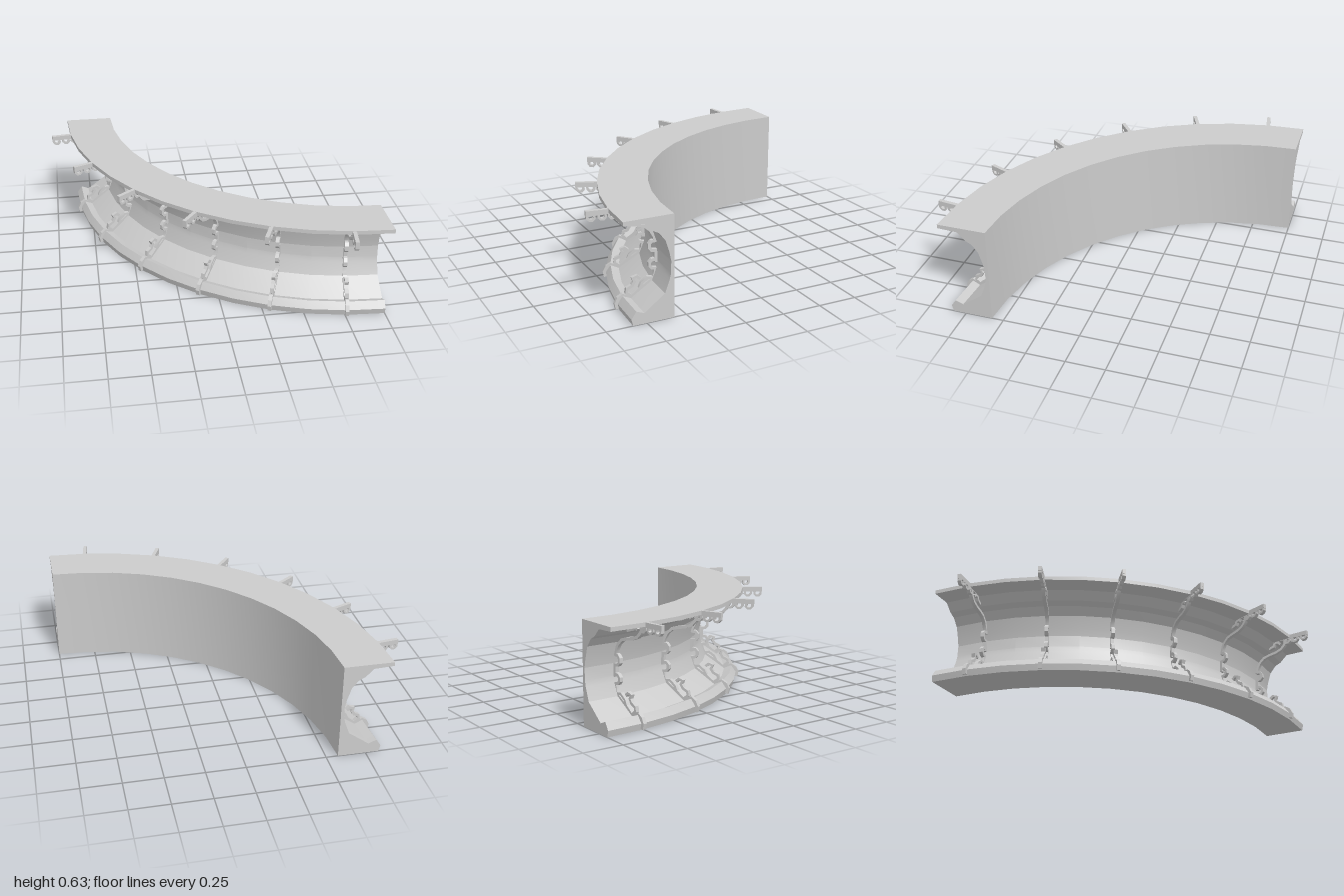
import * as THREE from 'three';
import { toCreasedNormals } from 'three/addons/utils/BufferGeometryUtils.js';

const material = new THREE.MeshStandardMaterial({ color: 0xcccccc });
const capMaterial = new THREE.MeshStandardMaterial({ color: 0xcccccc, side: THREE.DoubleSide });
const vectors = (points) => points.map(([r, y]) => new THREE.Vector2(r, y));

// Wall cross-section (radius, height), counter-clockwise
const PROFILE = [
  [1.575, 0], [1.835, 0], [1.845, 0.04], [1.815, 0.085], [1.765, 0.065], [1.635, 0.16],
  [1.605, 0.24], [1.597, 0.275], [1.595, 0.35], [1.605, 0.4], [1.63, 0.48], [1.67, 0.53],
  [1.71, 0.55], [1.735, 0.575], [1.76, 0.6], [1.885, 0.605], [1.885, 0.63], [1.575, 0.63],
];

// Bent strips making up one rib: points (radius, height) and strip thickness
const STRIPS = {
  topBar: [[[1.7, 0.614], [2.016, 0.614]], 0.03],
  upperScroll: [[[1.86, 0.61], [1.85, 0.585], [1.835, 0.56], [1.81, 0.535], [1.77, 0.52], [1.72, 0.512],
    [1.675, 0.5], [1.64, 0.47], [1.618, 0.43], [1.61, 0.395]], 0.018],
  upperCurl: [[[1.72, 0.56], [1.755, 0.57], [1.765, 0.59], [1.79, 0.595], [1.81, 0.575]], 0.018],
  upperCup: [[[1.605, 0.405], [1.635, 0.4], [1.647, 0.385], [1.647, 0.36], [1.635, 0.345], [1.605, 0.342]], 0.018],
  cupLink: [[[1.61, 0.35], [1.607, 0.27]], 0.018],
  lowerCup: [[[1.605, 0.29], [1.635, 0.285], [1.647, 0.27], [1.647, 0.25], [1.635, 0.235], [1.605, 0.23]], 0.018],
  lowerStem: [[[1.61, 0.24], [1.615, 0.2], [1.628, 0.17], [1.67, 0.14], [1.705, 0.12], [1.745, 0.085], [1.775, 0.065]], 0.018],
  lowerBranch: [[[1.628, 0.175], [1.66, 0.178], [1.695, 0.15], [1.71, 0.115]], 0.016],
  lowerHook: [[[1.76, 0.075], [1.79, 0.1], [1.785, 0.125], [1.755, 0.14], [1.74, 0.165], [1.75, 0.187],
    [1.725, 0.195], [1.705, 0.178]], 0.018],
  lipBand: [[[1.77, 0.07], [1.813, 0.088], [1.838, 0.07], [1.853, 0.04], [1.846, 0.008]], 0.022],
};

// Small hooks hanging below the top bar
[1.995, 1.93, 1.87].forEach((r, i) => {
  STRIPS['hangingHook' + (i + 1)] = [[[r + 0.012, 0.605], [r + 0.012, 0.585], [r, 0.572],
    [r - 0.018, 0.571], [r - 0.03, 0.583], [r - 0.026, 0.605]], 0.014];
});

// Flat strip of constant thickness along a path, extruded to the rib width
function stripGeometry([path, thickness], width) {
  const pts = vectors(path);
  const left = [], right = [];
  pts.forEach((p, i) => {
    const before = pts[Math.max(i - 1, 0)], after = pts[Math.min(i + 1, pts.length - 1)];
    const dir = after.clone().sub(before).normalize();
    const side = new THREE.Vector2(-dir.y, dir.x).multiplyScalar(thickness / 2);
    left.push(p.clone().add(side));
    right.push(p.clone().sub(side));
  });
  const shape = new THREE.Shape([...right, ...left.reverse()]);
  const geometry = new THREE.ExtrudeGeometry(shape, { depth: width, bevelEnabled: false });
  geometry.translate(0, 0, -width / 2);
  return toCreasedNormals(geometry, 0.5);
}

export function createModel() {
  const model = new THREE.Group();
  model.name = 'curvedWall';

  // The arc is a quarter turn around this corner
  const arc = new THREE.Group();
  arc.name = 'quarterArc';
  arc.position.set(1, 0, -1);
  model.add(arc);

  // Swept wall body
  const loop = vectors([...PROFILE, PROFILE[0]]);
  const body = new THREE.Mesh(
    toCreasedNormals(new THREE.LatheGeometry(loop, 12, -Math.PI / 2, Math.PI / 2), 0.2), material);
  body.name = 'wallBody';
  arc.add(body);

  // Flat caps on both ends
  for (const [name, turn] of [['frontEndCap', -Math.PI / 2], ['backEndCap', Math.PI]]) {
    const cap = new THREE.Mesh(new THREE.ShapeGeometry(new THREE.Shape(vectors(PROFILE))), capMaterial);
    cap.name = name;
    cap.rotation.y = turn;
    arc.add(cap);
  }

  // Six scrolled ribs spread evenly along the arc
  const geometries = Object.entries(STRIPS).map(([name, strip]) => [name, stripGeometry(strip, 0.024)]);
  for (let i = 0; i < 6; i++) {
    const rib = new THREE.Group();
    rib.name = 'rib' + (i + 1);
    rib.rotation.y = -Math.PI / 2 - THREE.MathUtils.degToRad(7.5 + 15 * i);
    for (const [name, geometry] of geometries) {
      const mesh = new THREE.Mesh(geometry, material);
      mesh.name = name;
      rib.add(mesh);
    }
    arc.add(rib);
  }
  return model;
}
